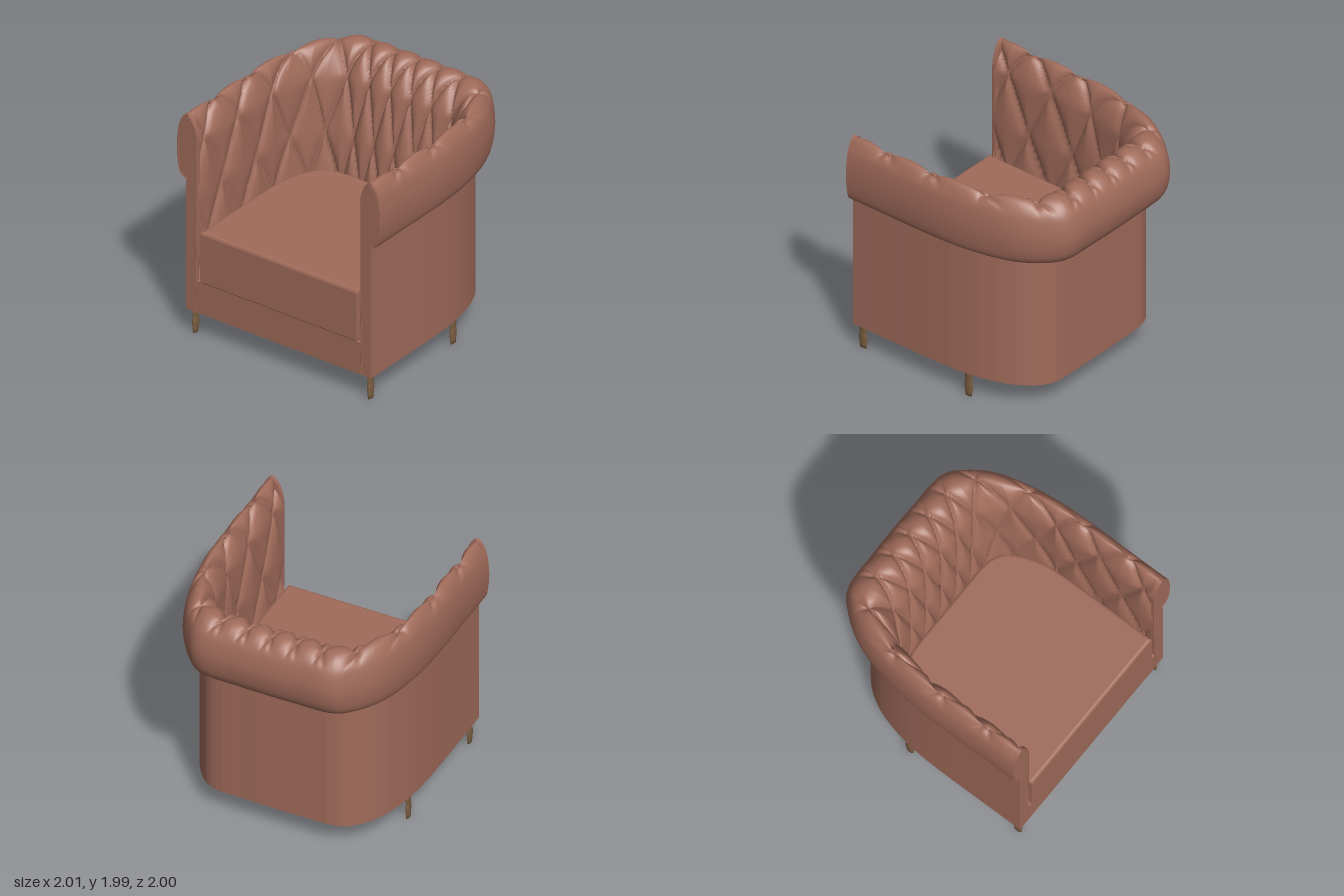
import * as THREE from 'three';

const leather = new THREE.MeshStandardMaterial({ color: 0xa06b5a, side: THREE.DoubleSide });
const wood = new THREE.MeshStandardMaterial({ color: 0x7d5f42 });

// Half plan from back centre to arm front: [tuft column, inner x, inner z, outer x, outer z]
const half = [
  [0, 0, -0.43, 0, -1.0],
  [1.2, 0.23, -0.43, 0.27, -0.995],
  [2.4, 0.46, -0.425, 0.57, -0.98],
  [3, 0.61, -0.37, 0.72, -0.87],
  [3.65, 0.7, -0.24, 0.87, -0.64],
  [4.2, 0.76, -0.05, 0.96, -0.3],
  [4.85, 0.775, 0.15, 1, 0.1],
  [6, 0.78, 0.65, 1, 0.65],
  [6.8, 0.78, 0.985, 1, 0.985],
];
const stations = [
  ...half.slice(1).reverse().map(([a, ix, iz, ox, oz]) => [-a, -ix, iz, -ox, oz]),
  ...half,
];
const spline = (pts) => new THREE.CatmullRomCurve3(pts, false, 'catmullrom', 0.5);
const innerPath = spline(stations.map((s) => new THREE.Vector3(s[1], s[0], s[2]))); // y carries the tuft column
const outerPath = spline(stations.map((s) => new THREE.Vector3(s[3], 0, s[4])));

// Section from inside bottom, over the roll, to its underside: [y, u on arm, u on back, tuft row]
const section = [
  [0.5, 0, 0, -0.8], [0.95, 0, 0, -0.35], [1.27, 0.01, 0.06, 0], [1.55, 0.02, 0.14, 0.28],
  [1.75, 0.06, 0.22, 0.5], [1.9, 0.22, 0.36, 0.72], [1.975, 0.42, 0.52, 0.88], [1.985, 0.6, 0.69, 1],
  [1.94, 0.78, 0.84, 1.12], [1.84, 0.93, 0.95, 1.25], [1.68, 1, 1, 1.4], [1.52, 0.95, 0.95, 1.6],
  [1.43, 0.83, 0.82, 1.7], [1.4, 0.6, 0.6, 1.9],
];
const armCurve = spline(section.map(([y, u, , v]) => new THREE.Vector3(u, y, v)));
const backCurve = spline(section.map(([y, , u, v]) => new THREE.Vector3(u, y, v)));

// Depth of the diamond tufting at column a, row v
function tuft(a, v) {
  const dist = (n) => Math.abs(n - Math.round(n));
  const d = Math.min(dist(a + v), dist(a - v));
  const fade = 1 - THREE.MathUtils.smoothstep(v, 1.0, 1.22);
  return -fade * (0.035 * Math.exp(-d / 0.06) + 0.025 * (1 - 2 * d) ** 2);
}

// Continuous padded back and arms
function paddingGeometry() {
  const S = 400, T = 72, pos = [], index = [];
  for (let i = 0; i <= S; i++) {
    const inner = innerPath.getPoint(i / S), outer = outerPath.getPoint(i / S);
    const a = inner.y;
    inner.y = 0;
    const across = outer.clone().sub(inner), width = across.length();
    const arm = THREE.MathUtils.smoothstep(Math.abs(a), 2.4, 4.6);
    const at = (t) => backCurve.getPoint(t).lerp(armCurve.getPoint(t), arm);
    for (let j = 0; j <= T; j++) {
      const t = j / T, p = at(t);
      const p0 = at(Math.max(0, t - 0.01)), p1 = at(Math.min(1, t + 0.01));
      const du = (p1.x - p0.x) * width, dy = p1.y - p0.y, len = Math.hypot(du, dy);
      const depth = tuft(a, p.z);
      const u = p.x - (dy / len) * depth / width;
      pos.push(inner.x + across.x * u, p.y + (du / len) * depth, inner.z + across.z * u);
      if (i < S && j < T) {
        const k = i * (T + 1) + j, n = k + T + 1;
        index.push(k, n, n + 1, k, n + 1, k + 1);
      }
    }
  }
  const g = new THREE.BufferGeometry();
  g.setAttribute('position', new THREE.Float32BufferAttribute(pos, 3));
  g.setIndex(index);
  g.computeVertexNormals();
  return g;
}

// Plan line a fraction u of the way from the inner to the outer path
function planLine(u, n = 56) {
  return Array.from({ length: n + 1 }, (_, i) => {
    const p = innerPath.getPoint(i / n).lerp(outerPath.getPoint(i / n), u);
    return new THREE.Vector2(p.x, -p.z);
  });
}

// Raise a plan outline between two heights
function raise(points, y0, y1, bevel = 0) {
  const g = new THREE.ExtrudeGeometry(new THREE.Shape(points), {
    depth: y1 - y0 - 2 * bevel, bevelEnabled: bevel > 0, bevelSize: bevel,
    bevelThickness: bevel, bevelOffset: -bevel, bevelSegments: 2,
  });
  return g.rotateX(-Math.PI / 2).translate(0, y0 + bevel, 0);
}

export function createModel() {
  const model = new THREE.Group();
  const add = (name, geometry, material = leather, parent = model) => {
    const mesh = new THREE.Mesh(geometry, material);
    mesh.name = name;
    parent.add(mesh);
    return mesh;
  };

  add('tuftedBackAndArms', paddingGeometry());
  add('outerShell', raise([...planLine(0.6), ...planLine(0.3).reverse()], 0.22, 1.42));
  add('seatBase', raise(planLine(0.595), 0.22, 0.5));

  // Seat cushion with a soft edge, reaching the front
  const cushionPlan = planLine(0).map((p) => new THREE.Vector2(p.x * 0.983, p.y < -0.9 ? -1 : p.y));
  add('seatCushion', raise(cushionPlan, 0.49, 0.965, 0.025));
  add('frontRail', new THREE.BoxGeometry(1.61, 0.285, 0.02).translate(0, 0.3625, 0.987));

  // Scroll-shaped arm fronts with piping
  const scroll = armCurve.getPoints(48).filter((p) => p.y > 0.95)
    .map((p) => new THREE.Vector2(Math.max(0.8, 0.78 + 0.22 * p.x), p.y));
  const outline = [new THREE.Vector2(0.81, 0.22), ...scroll, new THREE.Vector2(0.91, 1.4), new THREE.Vector2(0.91, 0.22)];
  const piping = [new THREE.Vector2(0.81, 0.23), ...scroll]
    .map((p) => new THREE.Vector3(p.x + (p.x > 0.9 ? -0.012 : 0.006), p.y - (p.y > 1.9 ? 0.01 : 0), 0.993));
  for (const side of [1, -1]) {
    const arm = new THREE.Group();
    arm.name = side > 0 ? 'leftArmFront' : 'rightArmFront';
    arm.scale.x = side;
    model.add(arm);
    const panel = new THREE.ExtrudeGeometry(new THREE.Shape(outline), { depth: 0.035, bevelEnabled: false });
    add('armPanel', panel.translate(0, 0, 0.962), leather, arm);
    add('armPiping', new THREE.TubeGeometry(new THREE.CatmullRomCurve3(piping), 90, 0.007, 6), leather, arm);
  }

  // Flattened turned legs
  const legProfile = [[0, 0], [0.032, 0], [0.036, 0.03], [0.044, 0.09], [0.04, 0.12], [0.033, 0.14], [0.038, 0.16], [0.04, 0.225]]
    .map(([r, y]) => new THREE.Vector2(r, y));
  for (const x of [-0.86, 0.86]) {
    for (const z of [0.935, -0.14]) {
      const leg = add(z > 0 ? 'frontLeg' : 'backLeg', new THREE.LatheGeometry(legProfile, 10), wood);
      leg.scale.x = 0.38;
      leg.position.set(x, 0, z);
    }
  }
  return model;
}
